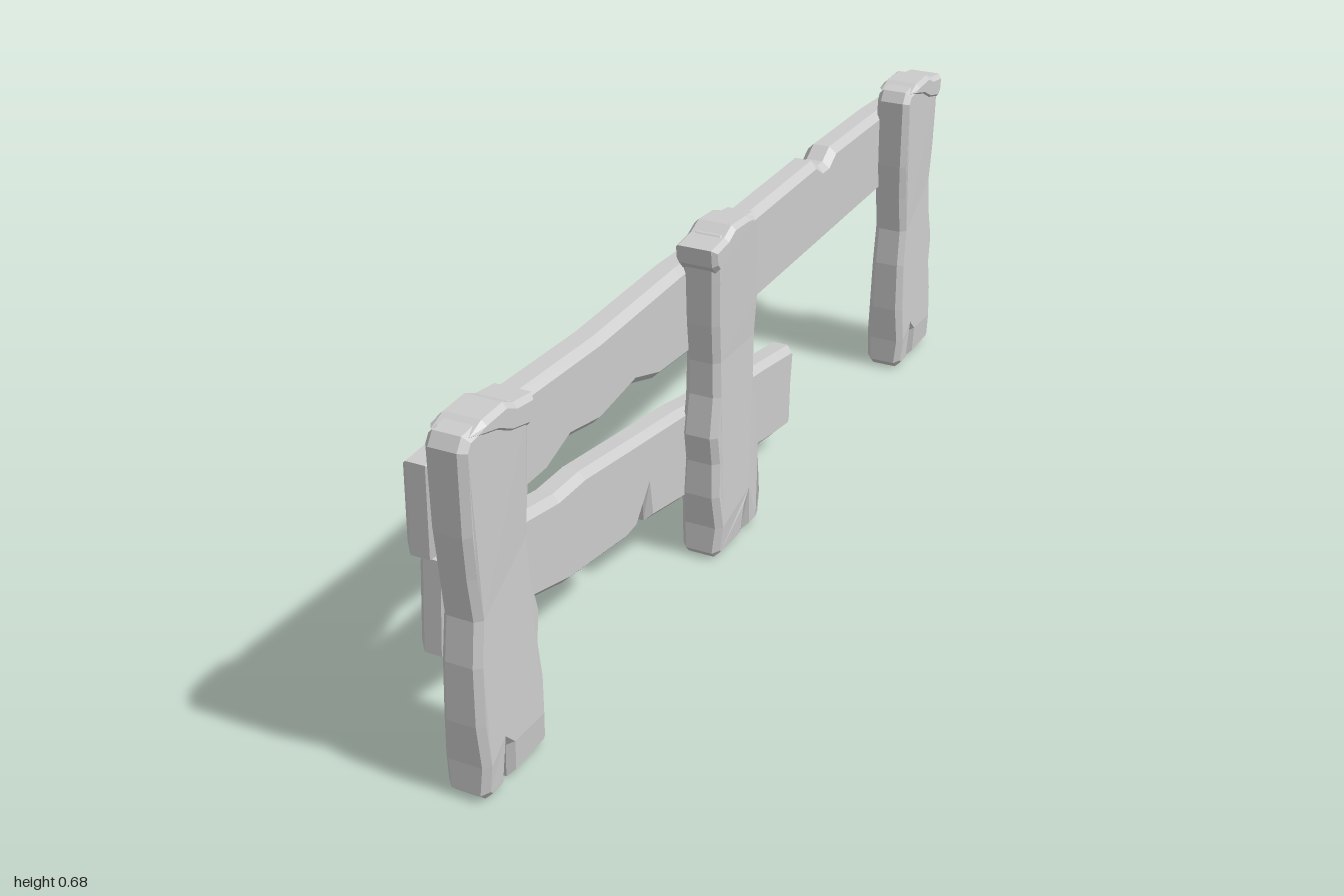
import * as THREE from 'three';

const material = new THREE.MeshStandardMaterial({ color: 0xcccccc, flatShading: true });

// Chamfered plank: outline given as [z, y], thickness running from x0 to x1.
// bulge(y) optionally returns [shift of low-x side, shift of high-x side].
function plank(name, outline, x0, x1, bevel, bulge) {
  const shape = new THREE.Shape(outline.map(([z, y]) => new THREE.Vector2(z, y)));
  const geo = new THREE.ExtrudeGeometry(shape, {
    depth: x1 - x0 - 2 * bevel, steps: 1, bevelEnabled: true,
    bevelSegments: 1, bevelSize: bevel, bevelThickness: bevel, bevelOffset: -bevel,
  });
  geo.rotateY(-Math.PI / 2);
  geo.translate(x1 - bevel, 0, 0);
  if (bulge) {
    const p = geo.attributes.position;
    const mid = (x0 + x1) / 2;
    for (let i = 0; i < p.count; i++) {
      const [low, high] = bulge(p.getY(i));
      p.setX(i, p.getX(i) + (p.getX(i) < mid ? low : high));
    }
  }
  geo.computeVertexNormals();
  const mesh = new THREE.Mesh(geo, material);
  mesh.name = name;
  return mesh;
}

// Worn post outline with a split at the foot
const postOutline = [
  [0.1, 0.015], [0.097, 0.07], [0.1, 0.15], [0.095, 0.26], [0.082, 0.34], [0.09, 0.42],
  [0.098, 0.5], [0.1, 0.65], [0.085, 0.672], [0.02, 0.68], [-0.05, 0.672], [-0.09, 0.64],
  [-0.088, 0.59], [-0.085, 0.5], [-0.077, 0.42], [-0.08, 0.35], [-0.098, 0.27],
  [-0.09, 0.21], [-0.097, 0.14], [-0.09, 0.07], [-0.096, 0.015], [-0.085, 0.002],
  [0.02, 0], [0.026, 0.07], [0.036, 0.085], [0.038, 0], [0.085, 0],
];

// Overhanging lump on one top corner of a post
const capOutline = [
  [-0.1, 0.628], [-0.104, 0.663], [-0.05, 0.67], [-0.02, 0.684], [0.04, 0.681],
  [0.075, 0.667], [0.01, 0.645], [-0.03, 0.625], [-0.085, 0.612],
];

// Post waist: swollen foot, slim middle
const postBulge = (y) => {
  const foot = Math.exp(-(((y - 0.08) / 0.06) ** 2));
  const waist = Math.exp(-(((y - 0.42) / 0.09) ** 2));
  return [-0.006 * foot, 0.007 * foot - 0.004 * waist];
};

const topRailOutline = [
  [0.99, 0.44], [0.985, 0.605], [0.8, 0.615], [0.47, 0.605], [0.17, 0.615], [-0.02, 0.61],
  [-0.45, 0.62], [-0.485, 0.598], [-0.51, 0.598], [-0.545, 0.62], [-0.8, 0.62],
  [-0.985, 0.612], [-0.992, 0.58], [-0.98, 0.52], [-1.0, 0.445], [-0.985, 0.432],
  [-0.79, 0.428], [-0.02, 0.415], [0.16, 0.425], [0.26, 0.43], [0.35, 0.458],
  [0.48, 0.44], [0.58, 0.458], [0.66, 0.43], [0.8, 0.428],
];

const lowRailOutline = [
  [0.975, 0.25], [0.96, 0.42], [0.8, 0.4], [0.62, 0.368], [0.53, 0.368], [0.34, 0.342],
  [0.16, 0.318], [-0.06, 0.275], [-0.2, 0.258], [-0.35, 0.235], [-0.36, 0.222],
  [-0.35, 0.15], [-0.345, 0.06], [-0.33, 0.048], [-0.25, 0.058], [-0.03, 0.095],
  [0.16, 0.118], [0.3, 0.145], [0.303, 0.215], [0.345, 0.155], [0.39, 0.15],
  [0.6, 0.178], [0.74, 0.215], [0.8, 0.228],
];

export function createModel() {
  const fence = new THREE.Group();
  fence.name = 'brokenFence';

  // Posts; the middle one is turned around
  const posts = [['frontPost', 0.9, 1], ['middlePost', 0.065, -1], ['backPost', -0.888, 1]];
  for (const [name, z, side] of posts) {
    const flip = (pts) => pts.map(([a, y]) => [a * side, y]);
    const post = new THREE.Group();
    post.name = name;
    post.add(plank('postBody', flip(postOutline), -0.012, 0.064, 0.012, postBulge));
    post.add(plank('postCap', flip(capOutline), -0.018, 0.068, 0.009));
    post.position.z = z;
    fence.add(post);
  }

  // Rails: one level, one slipped and slanting
  fence.add(plank('topRail', topRailOutline, -0.069, -0.003, 0.015));
  fence.add(plank('slantedRail', lowRailOutline, -0.067, -0.006, 0.014));
  return fence;
}
